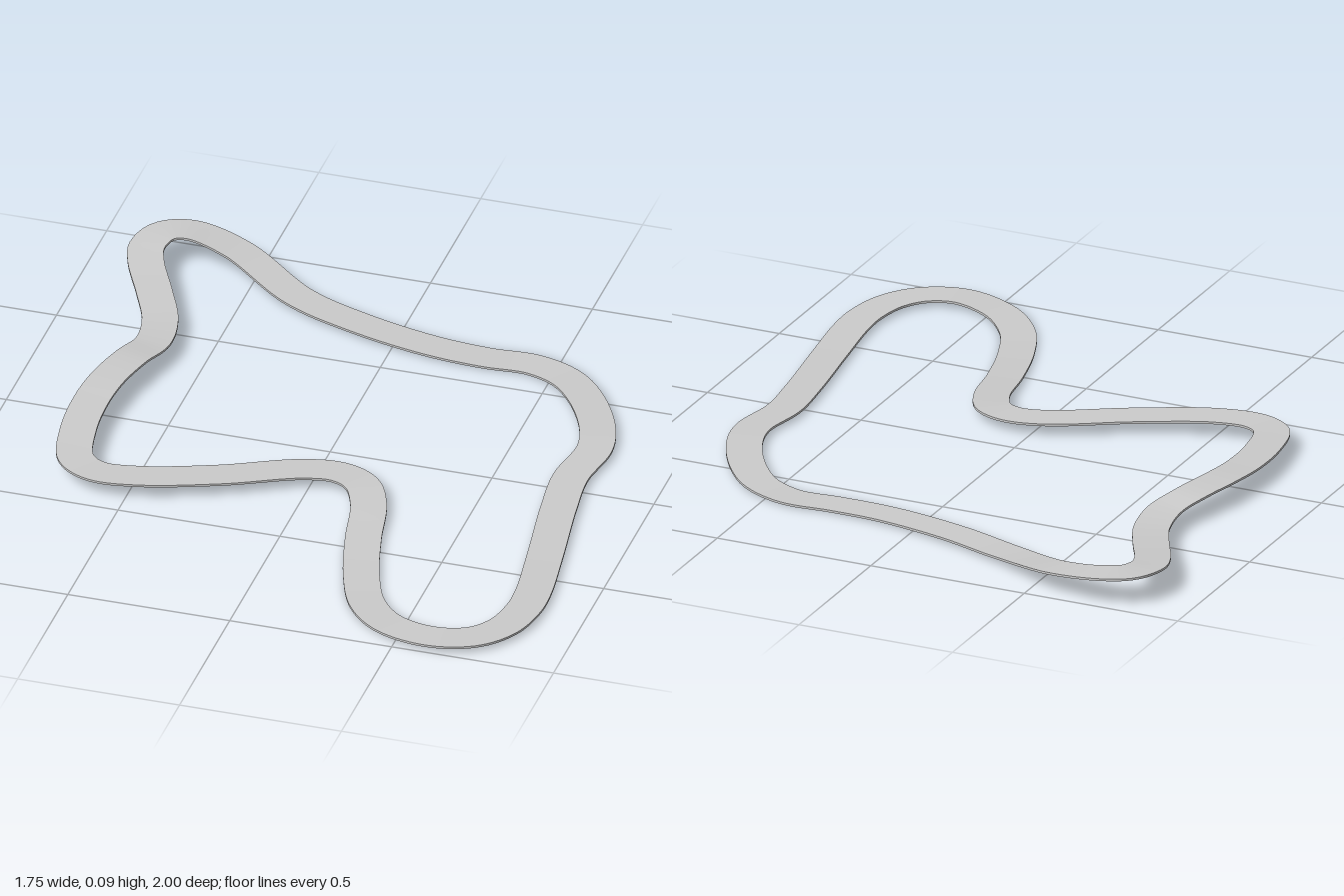
import * as THREE from 'three';

const WIDTH = 0.108, THICK = 0.007, STEPS = 400;

// Centre line of the closed track: x, top height, z
const PATH = [
  [-0.72, 0.088, -0.945], [-0.57, 0.066, -0.915], [-0.34, 0.024, -0.78], [-0.13, 0.018, -0.70],
  [0.11, 0.014, -0.645], [0.285, 0.011, -0.633], [0.43, 0.011, -0.637], [0.545, 0.014, -0.59],
  [0.635, 0.018, -0.495], [0.72, 0.02, -0.34], [0.748, 0.02, -0.22], [0.728, 0.019, -0.05],
  [0.745, 0.018, 0.125], [0.787, 0.016, 0.4], [0.815, 0.017, 0.61], [0.815, 0.019, 0.71],
  [0.787, 0.021, 0.825], [0.72, 0.023, 0.907], [0.608, 0.024, 0.942], [0.465, 0.016, 0.9],
  [0.365, 0.009, 0.8], [0.298, 0.009, 0.65], [0.245, 0.016, 0.46], [0.207, 0.027, 0.285],
  [0.155, 0.034, 0.19], [0.077, 0.037, 0.155], [-0.03, 0.039, 0.173], [-0.254, 0.044, 0.285],
  [-0.48, 0.05, 0.372], [-0.605, 0.051, 0.383], [-0.68, 0.053, 0.335], [-0.72, 0.058, 0.19],
  [-0.73, 0.065, 0.03], [-0.718, 0.071, -0.1], [-0.688, 0.07, -0.235], [-0.658, 0.058, -0.355],
  [-0.677, 0.054, -0.49], [-0.735, 0.062, -0.62], [-0.803, 0.077, -0.755], [-0.822, 0.085, -0.83],
  [-0.795, 0.09, -0.912],
];

// Rectangular section swept round the loop; each face has its own vertices for sharp edges
function sweepBand(curve) {
  const corners = [[-1, 0], [1, 0], [1, -THICK], [-1, -THICK]];
  const pos = [], idx = [];
  const frames = Array.from({ length: STEPS }, (_, i) => {
    const t = curve.getTangentAt(i / STEPS);
    return {
      p: curve.getPointAt(i / STEPS),
      side: new THREE.Vector3(-t.z, 0, t.x).normalize().multiplyScalar(WIDTH / 2),
    };
  });
  for (let f = 0; f < 4; f++) {
    const base = pos.length / 3;
    for (const { p, side } of frames) {
      for (const [s, h] of [corners[f], corners[(f + 1) % 4]]) {
        pos.push(p.x + side.x * s, p.y + h, p.z + side.z * s);
      }
    }
    for (let i = 0; i < STEPS; i++) {
      const a = base + i * 2, b = base + ((i + 1) % STEPS) * 2;
      idx.push(a, a + 1, b, b, a + 1, b + 1);
    }
  }
  const geo = new THREE.BufferGeometry();
  geo.setAttribute('position', new THREE.Float32BufferAttribute(pos, 3));
  geo.setIndex(idx);
  geo.computeVertexNormals();
  return geo;
}

export function createModel() {
  const group = new THREE.Group();
  group.name = 'raceTrack';
  const curve = new THREE.CatmullRomCurve3(PATH.map((p) => new THREE.Vector3(...p)), true);
  curve.arcLengthDivisions = 1000;
  const road = new THREE.Mesh(
    sweepBand(curve),
    new THREE.MeshStandardMaterial({ color: 0xcccccc, side: THREE.DoubleSide })
  );
  road.name = 'roadLoop';
  // Rest the lowest point on the ground
  road.geometry.computeBoundingBox();
  road.position.y = -road.geometry.boundingBox.min.y;
  group.add(road);
  return group;
}
